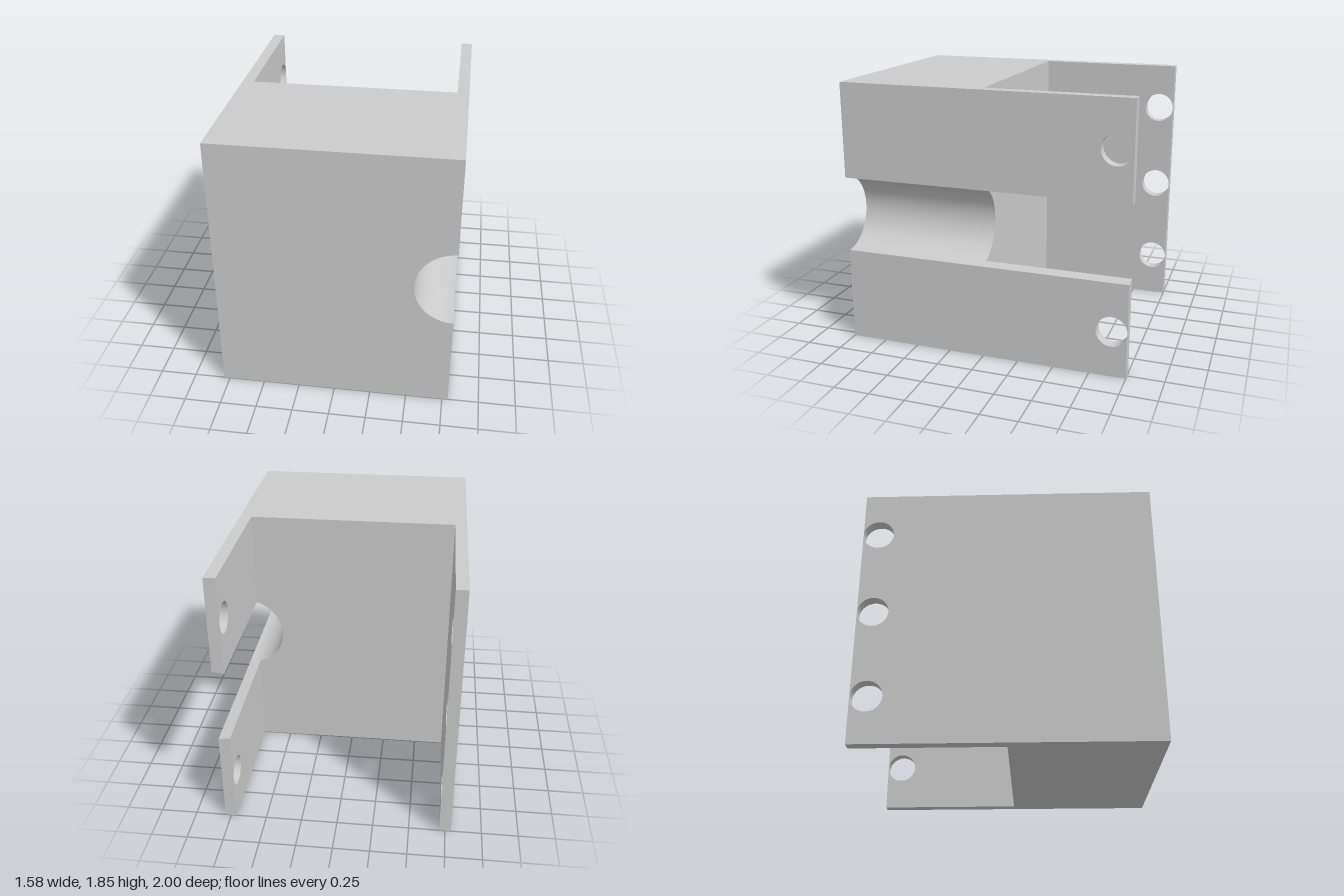
import * as THREE from 'three';
import { toCreasedNormals } from 'three/addons/utils/BufferGeometryUtils.js';

const W = 0.79, H = 1.85, MID = H / 2;   // half width, height, mid height
const T = 0.08;                          // flange thickness
const R = 0.265;                         // channel radius
const HOLE_R = 0.105, HOLE_U = 0.894;    // bolt holes near the rear edge
const HOLE_Y = [0.32, MID, 1.53];

const material = new THREE.MeshStandardMaterial({ color: 0xcccccc });

function extrude(shape, depth) {
  return new THREE.ExtrudeGeometry(shape, { depth, bevelEnabled: false, curveSegments: 40 });
}

function addMesh(parent, name, geometry) {
  const mesh = new THREE.Mesh(toCreasedNormals(geometry, 0.5), material);
  mesh.name = name;
  parent.add(mesh);
  return mesh;
}

// Upright plate reaching back from z = 0 to z = -1, drilled at the given heights
function flangeGeometry(y0, y1, holes) {
  const shape = new THREE.Shape();
  shape.moveTo(0, y0).lineTo(1, y0).lineTo(1, y1).lineTo(0, y1).closePath();
  for (const y of holes) {
    shape.holes.push(new THREE.Path().absarc(HOLE_U, y, HOLE_R, 0, Math.PI * 2, true));
  }
  return extrude(shape, T).rotateY(Math.PI / 2);
}

export function createModel() {
  const model = new THREE.Group();
  model.name = 'bracketBlock';

  // Solid block with a half-round channel along its left side
  const profile = new THREE.Shape();
  profile.moveTo(-W, 0).lineTo(W, 0).lineTo(W, MID - R);
  profile.absarc(W, MID, R, -Math.PI / 2, Math.PI / 2, true);
  profile.lineTo(W, H).lineTo(-W, H).closePath();
  addMesh(model, 'block', extrude(profile, 1));

  // Full-height flange
  addMesh(model, 'rightFlange', flangeGeometry(0, H, HOLE_Y)).position.x = -W;

  // Split flange: the channel passes between its two arms
  const inset = R - Math.sqrt(R * R - T * T);
  const arms = [
    ['leftLowerFlange', 0, MID - R, HOLE_Y[0], MID - R, inset],
    ['leftUpperFlange', MID + R, H, HOLE_Y[2], MID + R, -inset],
  ];
  for (const [name, y0, y1, hole, edge, shift] of arms) {
    const geometry = flangeGeometry(y0, y1, [hole]);
    const p = geometry.attributes.position;
    // The arm's inner edge follows the curve of the channel
    for (let i = 0; i < p.count; i++) {
      if (p.getX(i) < T / 2 && Math.abs(p.getY(i) - edge) < 1e-4) p.setY(i, edge + shift);
    }
    addMesh(model, name, geometry).position.x = W - T;
  }

  return model;
}
